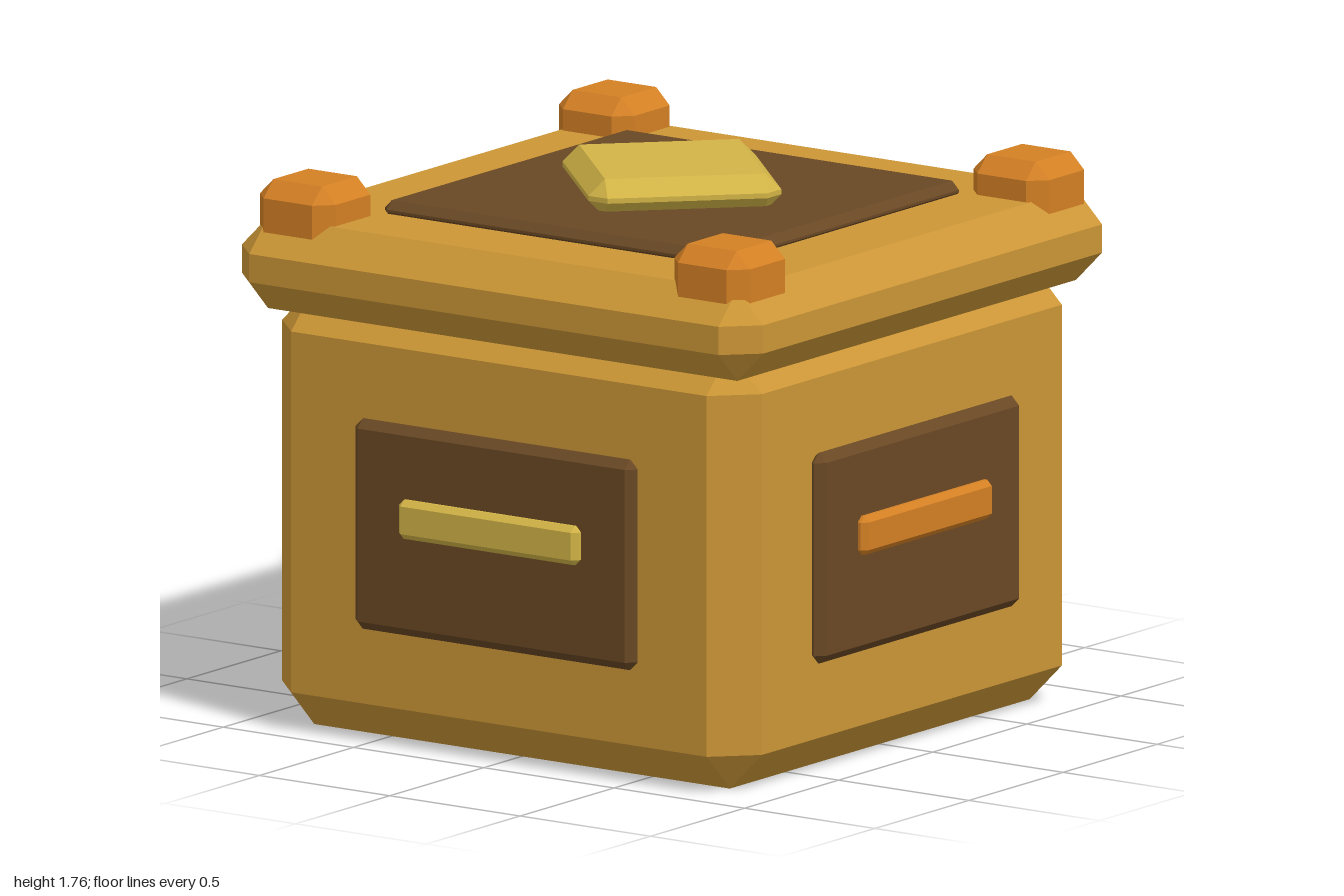
import * as THREE from 'three';
import { ConvexGeometry } from 'three/addons/geometries/ConvexGeometry.js';

const material = (name, color) => {
  const m = new THREE.MeshStandardMaterial({ color });
  m.name = name;
  return m;
};

// Box with every edge cut flat at 45 degrees and triangular corners.
function chamferBox(w, h, d, c) {
  const points = [];
  for (const x of [-1, 1]) for (const y of [-1, 1]) for (const z of [-1, 1]) {
    for (let axis = 0; axis < 3; axis++) {
      const half = [w / 2, h / 2, d / 2].map((s, i) => (i === axis ? s : s - c));
      points.push(new THREE.Vector3(x * half[0], y * half[1], z * half[2]));
    }
  }
  return new ConvexGeometry(points);
}

export function createModel() {
  const model = new THREE.Group();
  model.name = 'chest';
  const wood = material('ochre wood', 0xcc9636);
  const brown = material('dark brown', 0x694824);
  const gold = material('pale gold', 0xd2b446);
  const orange = material('copper orange', 0xd48024);

  const add = (parent, name, mat, size, chamfer, pos) => {
    const mesh = new THREE.Mesh(chamferBox(...size, chamfer), mat);
    mesh.name = name;
    mesh.position.set(...pos);
    parent.add(mesh);
    return mesh;
  };

  // Body and overhanging lid
  add(model, 'body', wood, [1.84, 1.395, 1.84], 0.123, [0, 0.6975, 0]);
  add(model, 'lid', wood, [2, 0.29, 2], 0.1, [0, 1.475, 0]);

  // Lid inlay with a diamond-turned gem
  add(model, 'lidPanel', brown, [1.3, 0.06, 1.3], 0.026, [0, 1.63, 0]);
  const gem = add(model, 'gem', gold, [0.608, 0.12, 0.608], 0.052, [0, 1.7, 0]);
  gem.rotation.y = Math.PI / 4;

  // Corner knobs, sunk into the lid
  for (const x of [-1, 1]) for (const z of [-1, 1]) {
    add(model, 'cornerKnob', orange, [0.29, 0.24, 0.29], 0.052, [x * 0.795, 1.62, z * 0.795]);
  }

  // One panel with a bar on each side: gold front and back, orange left and right
  ['front', 'left', 'back', 'right'].forEach((side, i) => {
    const group = new THREE.Group();
    group.name = side + 'Side';
    add(group, side + 'Panel', brown, [1.08, 0.67, 0.06], 0.028, [0, 0.7, 0.932]);
    add(group, side + 'Bar', i % 2 ? orange : gold, [0.69, 0.124, 0.06], 0.018, [0, 0.744, 0.961]);
    group.rotation.y = i * Math.PI / 2;
    model.add(group);
  });

  return model;
}
